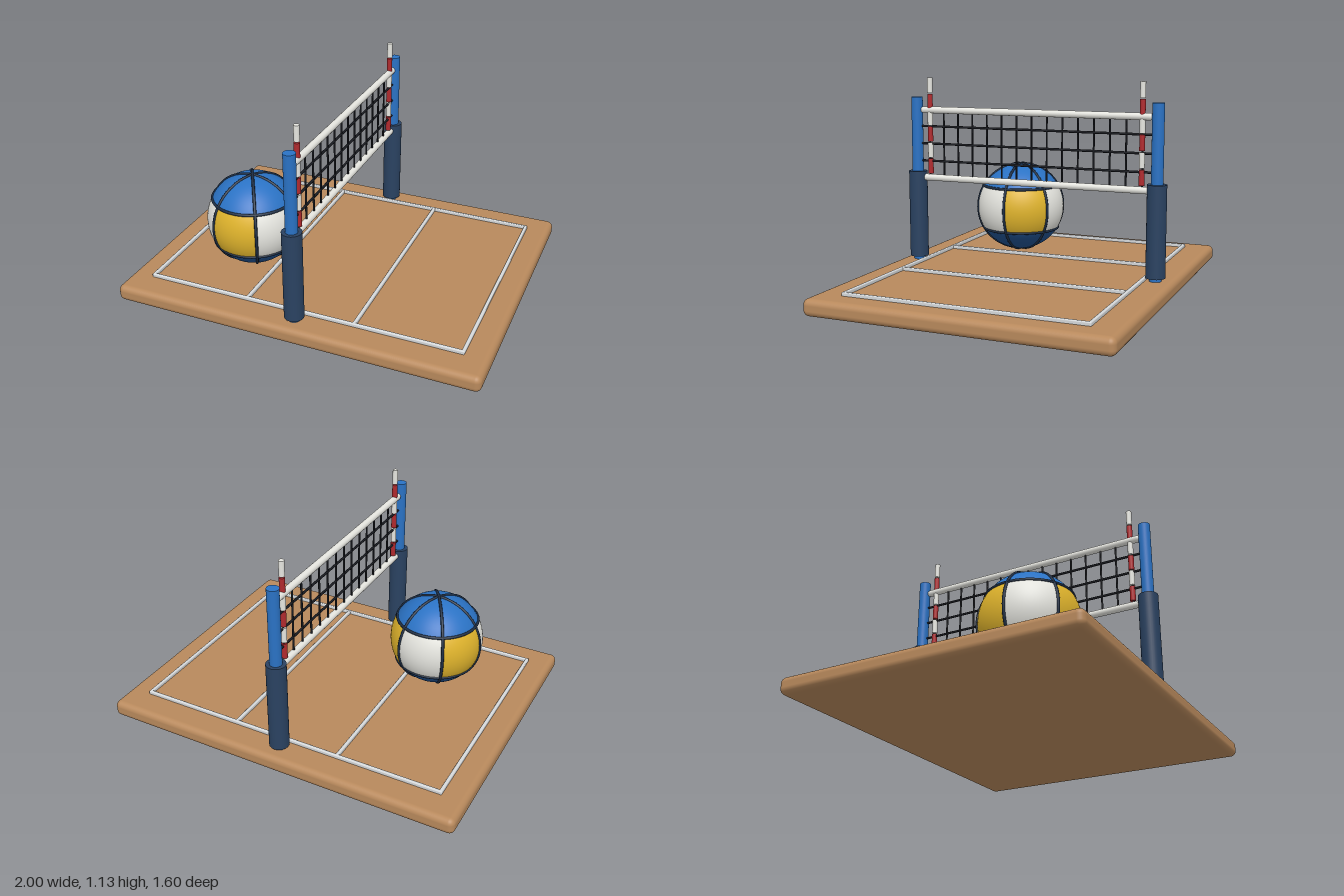
import * as THREE from 'three';
import { RoundedBoxGeometry } from 'three/addons/geometries/RoundedBoxGeometry.js';

const mat = (name, color) => {
  const m = new THREE.MeshStandardMaterial({ color });
  m.name = name;
  return m;
};

export function createModel() {
  const wood = mat('sand wood', 0xb8895c);
  const line = mat('line grey', 0xd6d9db);
  const white = mat('white', 0xe6e6e0);
  const blue = mat('blue', 0x2a72c4);
  const deepBlue = mat('deep blue', 0x1f4f8c);
  const navy = mat('navy padding', 0x2a4261);
  const seam = mat('seam navy', 0x1c2c42);
  const black = mat('net black', 0x1a1c22);
  const yellow = mat('yellow', 0xe0b42c);
  const red = mat('red', 0xb02a2e);

  const model = new THREE.Group();
  const add = (parent, name, geometry, material, x = 0, y = 0, z = 0) => {
    const mesh = new THREE.Mesh(geometry, material);
    mesh.name = name;
    mesh.position.set(x, y, z);
    parent.add(mesh);
    return mesh;
  };
  const group = (name) => {
    const g = new THREE.Group();
    g.name = name;
    model.add(g);
    return g;
  };
  const rod = (r, length, sides = 24) => new THREE.CylinderGeometry(r, r, length, sides);

  // Court base
  add(model, 'courtBase', new RoundedBoxGeometry(2, 0.09, 1.6, 4, 0.032), wood, 0, 0.045, 0);

  // Raised court lines
  const lines = group('courtLines');
  for (const x of [-0.867, -0.3, 0.3, 0.867])
    add(lines, 'crossLine', new RoundedBoxGeometry(0.018, 0.022, 1.3, 2, 0.006), line, x, 0.098, 0);
  for (const z of [-0.641, 0.641])
    add(lines, 'sideLine', new RoundedBoxGeometry(1.75, 0.022, 0.018, 2, 0.006), line, 0, 0.098, z);

  // Posts with padding, and striped antennas
  for (const side of [-1, 1]) {
    const post = group(side > 0 ? 'frontPost' : 'backPost');
    add(post, 'pole', rod(0.032, 0.93, 32), blue, 0, 0.555, side * 0.7);
    add(post, 'padding', rod(0.052, 0.492, 32), navy, 0, 0.354, side * 0.7);
    const antenna = group('antenna');
    for (let i = 0; i < 6; i++)
      add(antenna, 'antennaStripe', rod(0.015, 0.084, 16), i % 2 ? red : white,
        0, 1.086 - i * 0.091, side * 0.617);
  }

  // Net: two tapes and a grid of cords
  const net = group('net');
  for (const y of [0.948, 0.565])
    add(net, 'tape', new THREE.CapsuleGeometry(0.019, 1.312, 6, 16), white, 0, y, 0).rotation.x = Math.PI / 2;
  for (let i = -7; i <= 7; i++)
    add(net, 'verticalCord', rod(0.0055, 0.38, 8), black, 0, 0.756, i * 0.0886);
  for (const y of [0.66, 0.758, 0.856])
    add(net, 'horizontalCord', rod(0.0065, 1.35, 8), black, 0, y, 0).rotation.x = Math.PI / 2;

  // Ball: two caps, six side panels, five seams
  const R = 0.255, third = Math.PI / 3;
  const ball = group('ball');
  ball.position.set(-0.448, 0.355, 0.255);
  add(ball, 'topCap', new THREE.SphereGeometry(R, 48, 16, 0, Math.PI * 2, 0, third), blue);
  add(ball, 'bottomCap', new THREE.SphereGeometry(R, 48, 16, 0, Math.PI * 2, 2 * third, third), deepBlue);
  for (let i = 0; i < 6; i++)
    add(ball, 'sidePanel', new THREE.SphereGeometry(R, 10, 14, third * (i + 1), third, third, third),
      i % 2 ? white : yellow);
  for (let i = 0; i < 3; i++)
    add(ball, 'meridianSeam', new THREE.TorusGeometry(R, 0.008, 8, 64), seam).rotation.y = i * third;
  for (const side of [-1, 1])
    add(ball, 'ringSeam', new THREE.TorusGeometry(R * Math.sin(third), 0.008, 8, 64), seam,
      0, side * R / 2, 0).rotation.x = Math.PI / 2;

  return model;
}
